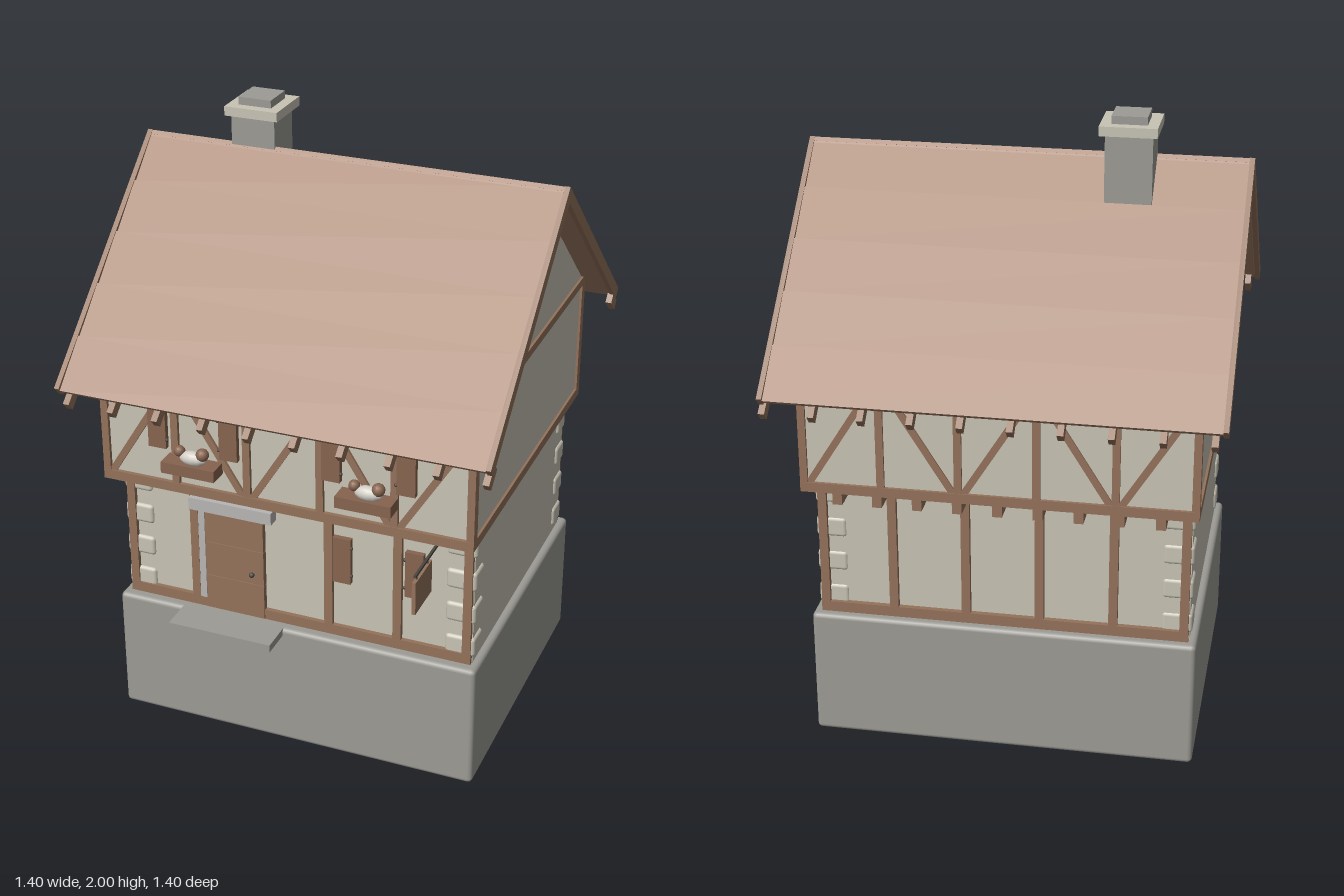
import * as THREE from 'three';
import { RoundedBoxGeometry } from 'three/addons/geometries/RoundedBoxGeometry.js';

const mat = (name, color) => Object.assign(new THREE.MeshStandardMaterial({ color }), { name });

export function createModel() {
  const plaster = mat('plaster', 0xc8c4b5);
  const stone = mat('stone', 0x9c9b95);
  const paleStone = mat('pale stone', 0xb8b6b4);
  const timber = mat('timber', 0x94725b);
  const roofWood = mat('roof boards', 0xa07c65);
  const shutterWood = mat('shutter wood', 0x87644f);
  const iron = mat('iron', 0x4a4540);
  const blossom = mat('blossom', 0xd2cec6);

  const model = new THREE.Group();
  model.name = 'house';

  const add = (parent, name, geometry, material, x = 0, y = 0, z = 0) => {
    const mesh = new THREE.Mesh(geometry, material);
    mesh.name = name;
    mesh.position.set(x, y, z);
    parent.add(mesh);
    return mesh;
  };
  // Box given by its limits on each axis
  const box = (parent, name, material, x0, x1, y0, y1, z0, z1) =>
    add(parent, name, new THREE.BoxGeometry(x1 - x0, y1 - y0, z1 - z0), material,
      (x0 + x1) / 2, (y0 + y1) / 2, (z0 + z1) / 2);
  const rounded = (parent, name, material, w, h, d, r, x, y, z) =>
    add(parent, name, new RoundedBoxGeometry(w, h, d, 2, r), material, x, y, z);
  const group = (name) => {
    const g = new THREE.Group();
    g.name = name;
    model.add(g);
    return g;
  };

  // Stone base and plastered storeys
  rounded(model, 'stoneBase', stone, 1.23, 0.43, 1.02, 0.015, 0, 0.215, 0);
  box(model, 'groundFloorWalls', plaster, -0.59, 0.59, 0.42, 0.9, -0.465, 0.46);
  box(model, 'upperFloorWalls', plaster, -0.607, 0.607, 0.893, 1.335, -0.553, 0.55);

  // Gable prism
  const gableShape = new THREE.Shape([
    new THREE.Vector2(-0.55, 1.33), new THREE.Vector2(0.55, 1.33), new THREE.Vector2(0, 1.815),
  ]);
  const gable = add(model, 'gables',
    new THREE.ExtrudeGeometry(gableShape, { depth: 1.214, bevelEnabled: false }), plaster, -0.607);
  gable.rotation.y = Math.PI / 2;

  // Corner stones of the ground floor
  const quoins = group('cornerStones');
  for (const sx of [-1, 1]) for (const sz of [-1, 1]) for (let i = 0; i < 4; i++) {
    rounded(quoins, 'cornerStone', plaster, 0.098, 0.068, 0.082, 0.012,
      sx * 0.549, 0.488 + i * 0.119, sz * 0.429);
  }

  // Timber frames: the front one, and the back one turned around
  const posts = {
    front: [-0.35, 0.112, 0.343],
    back: [-0.35, -0.117, 0.117, 0.35],
  };
  for (const side of ['front', 'back']) {
    const g = group(side + 'TimberFrame');
    if (side === 'back') g.rotation.y = Math.PI;
    const d = side === 'back' ? 0.007 : 0;
    box(g, 'groundSill', timber, -0.588, 0.588, 0.43, 0.465, 0.45, 0.475 + d);
    box(g, 'groundTopBeam', timber, -0.588, 0.588, 0.86, 0.893, 0.45, 0.475 + d);
    for (const x of [-0.573, ...posts[side], 0.573])
      box(g, 'groundPost', timber, x - 0.014, x + 0.014, 0.465, 0.86, 0.45, 0.475 + d);

    // Joist ends under the overhang
    for (let i = -4; i <= 4; i++)
      box(g, 'joistEnd', timber, i * 0.125 - 0.015, i * 0.125 + 0.015, 0.855, 0.893, 0.45,
        side === 'front' ? 0.502 : 0.56);

    // Upper frame with five braced bays
    box(g, 'upperSill', timber, -0.615, 0.615, 0.893, 0.925, 0.53, 0.563);
    box(g, 'upperTopBeam', timber, -0.615, 0.615, 1.31, 1.335, 0.53, 0.56);
    for (let i = 0; i < 6; i++) {
      const x = -0.603 + i * 0.2412;
      box(g, 'upperPost', timber, x - 0.012, x + 0.012, 0.925, 1.31, 0.53, 0.562);
      if (i === 5) break;
      const dir = i % 2 ? -1 : 1;
      const brace = add(g, 'brace', new THREE.BoxGeometry(0.022, 0.4, 0.012), timber,
        x + 0.1206, 1.09, 0.553);
      brace.rotation.z = -dir * Math.atan2(0.205, 0.33);
    }
  }

  // Timber border on the gable sides
  for (const s of [-1, 1]) {
    const g = group(s > 0 ? 'leftTimberFrame' : 'rightTimberFrame');
    const beam = (name, y0, y1, z0, z1) =>
      box(g, name, timber, s * 0.607 - 0.008, s * 0.607 + 0.008, y0, y1, z0, z1);
    beam('sideSill', 0.893, 0.925, -0.563, 0.563);
    beam('sideTopBeam', 1.31, 1.338, -0.56, 0.56);
    beam('sidePost', 0.925, 1.31, -0.56, -0.543);
    beam('sidePost', 0.925, 1.31, 0.543, 0.56);
  }

  // Roof: two slopes of overlapping boards, verge boards and rafter tails
  const pitch = Math.atan(0.878);
  const slopeLength = 0.69 / Math.cos(pitch);
  const row = slopeLength / 5;
  for (const side of ['front', 'back']) {
    const turn = group(side + 'Roof');
    turn.position.y = 1.857;
    if (side === 'back') turn.rotation.y = Math.PI;
    const slope = new THREE.Group();
    slope.rotation.x = pitch;
    turn.add(slope);
    box(slope, 'roofDeck', roofWood, -0.68, 0.68, -0.034, -0.014, 0, slopeLength - 0.01);
    for (let i = 0; i < 5; i++) {
      const board = box(slope, 'roofBoard', roofWood, -0.682, 0.682, -0.02, -0.006,
        i * row, (i + 1) * row);
      board.rotation.x = 0.045;
    }
    for (const s of [-1, 1])
      box(slope, 'vergeBoard', timber, s * 0.69 - 0.008, s * 0.69 + 0.008, -0.038, 0, 0, slopeLength);
    for (let i = 0; i < 10; i++) {
      const x = (side === 'front' ? 1 : -1) * (-0.66 + i * 0.1494);
      const tail = add(turn, 'rafterTail', new THREE.BoxGeometry(0.02, 0.034, 0.066), timber,
        x, 1.213 - 1.857, 0.655);
      tail.rotation.x = pitch;
    }
  }

  // Chimney
  const chimney = group('chimney');
  box(chimney, 'chimneyStack', stone, -0.4, -0.254, 1.65, 1.95, -0.13, 0.008);
  box(chimney, 'chimneyCap', plaster, -0.415, -0.237, 1.945, 1.975, -0.151, 0.026);
  box(chimney, 'chimneyPot', stone, -0.381, -0.271, 1.975, 2, -0.117, -0.007);

  // Door with stone surround and step
  const entrance = group('entrance');
  for (let i = 0; i < 3; i++)
    box(entrance, 'doorBoard', timber, -0.31, -0.108, 0.433 + i * 0.124, 0.555 + i * 0.124, 0.45, 0.48);
  box(entrance, 'doorBacking', shutterWood, -0.309, -0.109, 0.433, 0.8, 0.45, 0.477);
  box(entrance, 'doorJamb', paleStone, -0.334, -0.312, 0.465, 0.8, 0.45, 0.478);
  box(entrance, 'doorLintel', paleStone, -0.355, -0.07, 0.8, 0.842, 0.45, 0.5);
  box(entrance, 'doorStep', stone, -0.387, -0.033, 0.405, 0.43, 0.48, 0.61);
  add(entrance, 'doorKnob', new THREE.SphereGeometry(0.009, 12, 8), iron, -0.147, 0.593, 0.486);

  // Shutter pairs with hinge pins
  const shutters = group('shutters');
  const shutterPair = (cx, y0, z) => {
    for (const s of [-1, 1]) {
      const x = cx + s * 0.12;
      box(shutters, 'shutter', shutterWood, x - 0.03, x + 0.03, y0, y0 + 0.16, z, z + 0.018);
      for (const dy of [0.03, 0.13])
        add(shutters, 'hingePin', new THREE.SphereGeometry(0.006, 8, 6), iron,
          x - s * 0.032, y0 + dy, z + 0.014);
    }
  };
  shutterPair(0.285, 0.642, 0.476);
  shutterPair(0.285, 1.05, 0.562);
  shutterPair(-0.292, 1.05, 0.562);

  // Flower boxes
  for (const cx of [-0.293, 0.283]) {
    const g = group('flowerBox');
    box(g, 'planter', shutterWood, cx - 0.09, cx + 0.09, 0.988, 1.026, 0.555, 0.62);
    const bloom = (name, material, dx, y, r, wide) =>
      add(g, name, new THREE.SphereGeometry(r, 12, 8), material, cx + dx, y, 0.595).scale.set(wide, 1, 1);
    bloom('paleBloom', blossom, 0.01, 1.045, 0.024, 1.9);
    bloom('brownBloom', shutterWood, -0.035, 1.063, 0.018, 1);
    bloom('brownBloom', shutterWood, 0.042, 1.063, 0.021, 1);
  }

  // Hanging sign board
  const sign = group('hangingSign');
  box(sign, 'signBoard', timber, 0.474, 0.486, 0.73, 0.84, 0.562, 0.705);
  box(sign, 'signBracket', iron, 0.476, 0.484, 0.853, 0.861, 0.47, 0.697);
  for (const z of [0.585, 0.68])
    box(sign, 'signHook', iron, 0.478, 0.482, 0.84, 0.855, z - 0.002, z + 0.002);

  return model;
}
